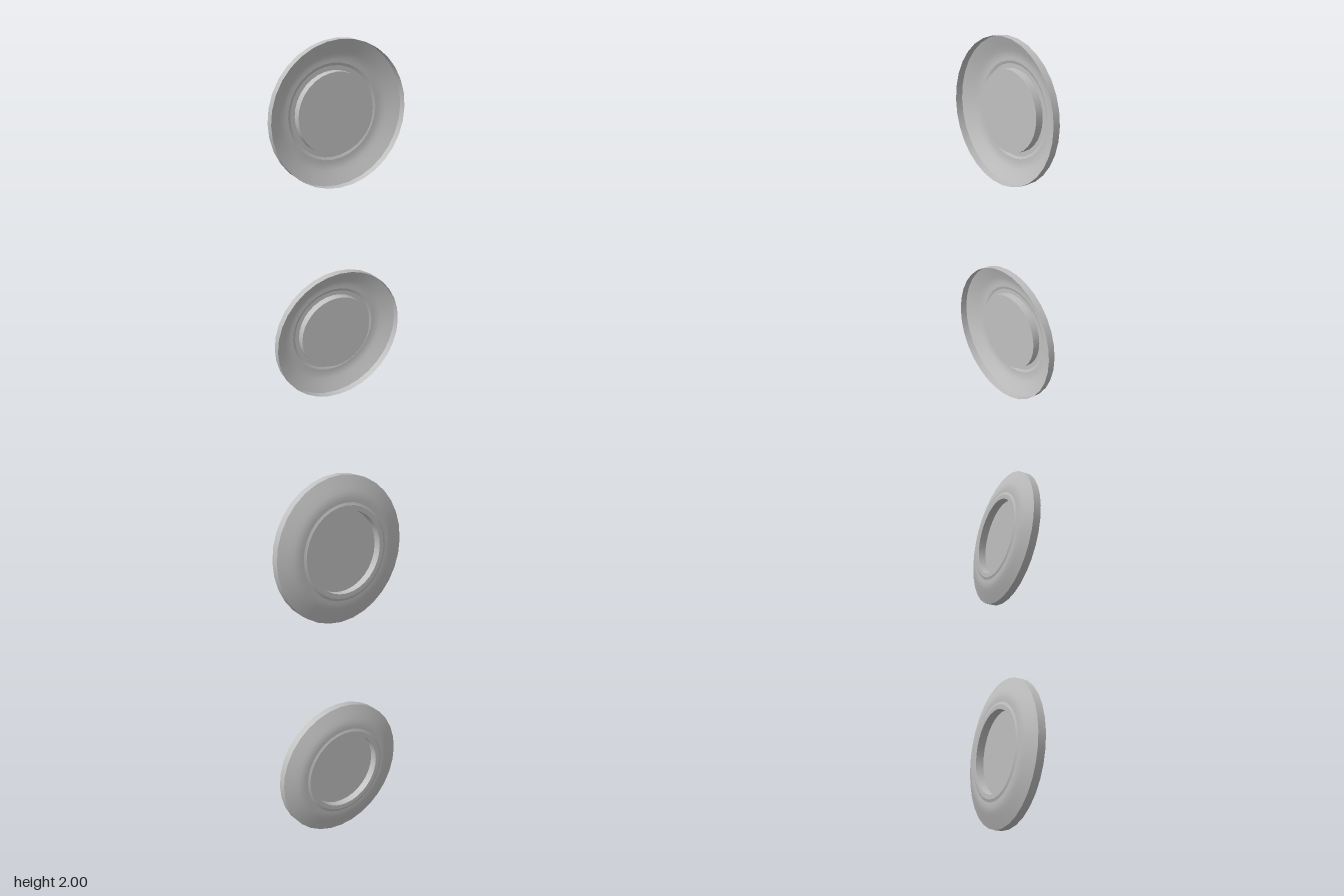
import * as THREE from 'three';

const SEGMENTS = 32;
const RADIUS = 0.378;

// Profiles as [radius, z], from the hub outwards; each one is a smooth section with sharp ends
const PROFILES = {
  hubDisc: [[0, 0], [0.212, 0]],
  hubWall: [[0.212, 0], [0.212, -0.042]],
  hubRing: [[0.212, -0.042], [0.236, -0.042]],
  ringStep: [[0.236, -0.042], [0.243, -0.039], [0.25, -0.037]],
  dish: [[0.25, -0.037], [0.268, -0.037], [0.285, -0.0345], [0.302, -0.03], [0.328, -0.02], [0.353, -0.01], [RADIUS, 0]],
  rim: [[RADIUS, 0], [RADIUS, 0.04]],
};

// Thin pressed plate turned around the z axis
function createPlate(name, material) {
  const plate = new THREE.Group();
  plate.name = name;
  for (const [part, profile] of Object.entries(PROFILES)) {
    const points = profile.map(([r, z]) => new THREE.Vector2(r, z));
    const geometry = new THREE.LatheGeometry(points, SEGMENTS).rotateX(Math.PI / 2);
    const mesh = new THREE.Mesh(geometry, material);
    mesh.name = part;
    plate.add(mesh);
  }
  return plate;
}

export function createModel() {
  const model = new THREE.Group();
  model.name = 'platePair';
  const grey = new THREE.MeshStandardMaterial({ color: 0xc0c0c0, side: THREE.DoubleSide });
  grey.name = 'light grey metal';

  // Two identical plates, one above the other
  for (const [name, y] of [['lowerPlate', RADIUS], ['upperPlate', 2 - RADIUS]]) {
    const plate = createPlate(name, grey);
    plate.position.y = y;
    model.add(plate);
  }
  return model;
}
